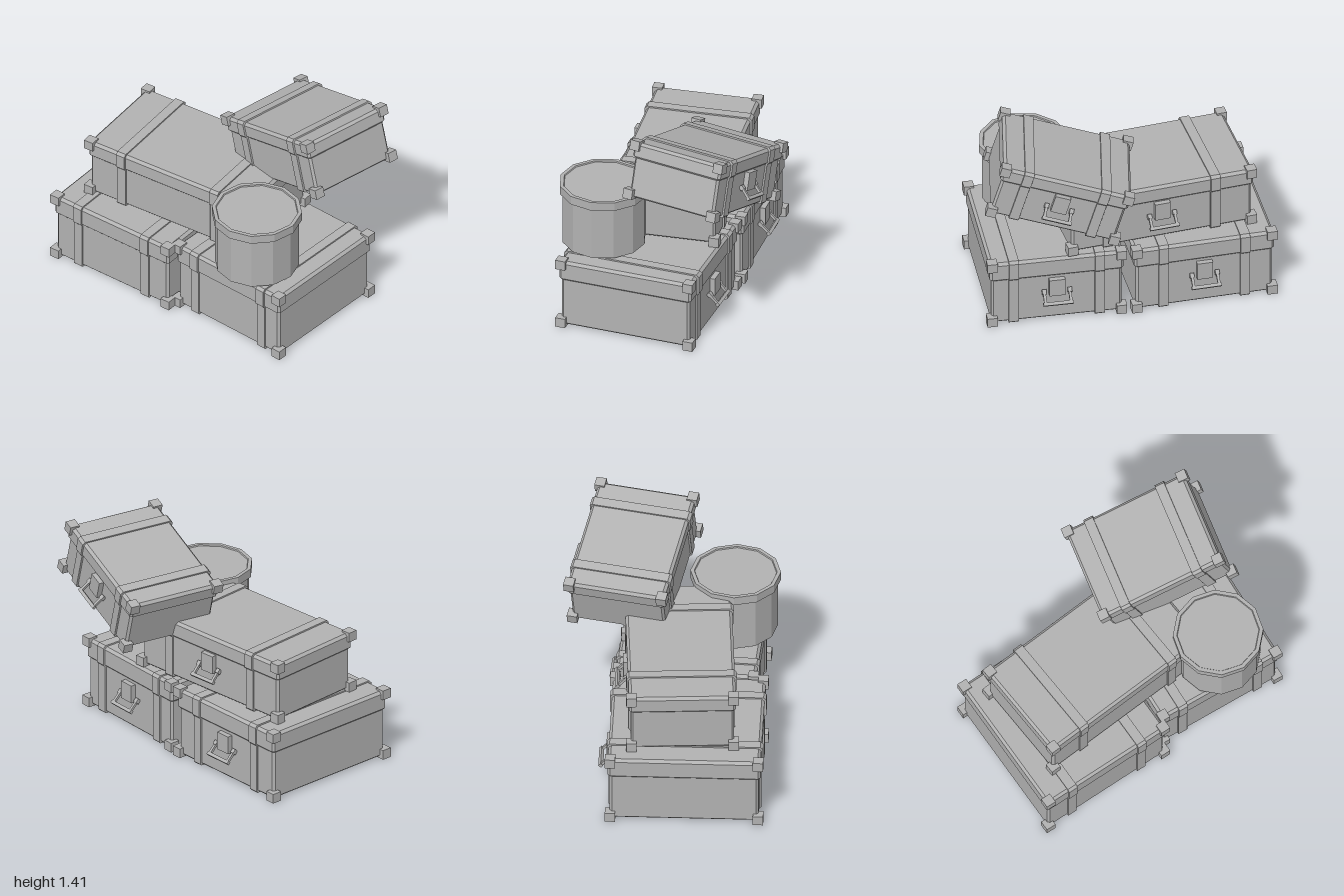
import * as THREE from 'three';

const grey = new THREE.MeshStandardMaterial({ color: 0xb2b2b2 });
grey.name = 'plain grey';

function add(parent, name, geometry, x = 0, y = 0, z = 0) {
  const mesh = new THREE.Mesh(geometry, grey);
  mesh.name = name;
  mesh.position.set(x, y, z);
  parent.add(mesh);
  return mesh;
}

const box = (w, h, d) => new THREE.BoxGeometry(w, h, d);

// Stack of rectangles with clipped corners; each ring is [y, half width, half depth]
function loft(rings, clip) {
  const pos = [];
  const loops = rings.map(([y, a, b]) => [
    [a, y, b - clip], [a, y, -b + clip], [a - clip, y, -b], [-a + clip, y, -b],
    [-a, y, -b + clip], [-a, y, b - clip], [-a + clip, y, b], [a - clip, y, b],
  ]);
  const tri = (...p) => p.forEach((v) => pos.push(...v));
  for (let r = 0; r < loops.length - 1; r++) {
    const lo = loops[r], hi = loops[r + 1];
    for (let i = 0; i < 8; i++) {
      const j = (i + 1) % 8;
      tri(lo[i], lo[j], hi[j]);
      tri(lo[i], hi[j], hi[i]);
    }
  }
  const bottom = loops[0], top = loops[loops.length - 1];
  for (let i = 1; i < 7; i++) {
    tri(top[0], top[i], top[i + 1]);
    tri(bottom[0], bottom[i + 1], bottom[i]);
  }
  const g = new THREE.BufferGeometry();
  g.setAttribute('position', new THREE.Float32BufferAttribute(pos, 3));
  g.computeVertexNormals();
  return g;
}

// Suitcase outline: narrow base, lip, wider lid with a bevelled top
function caseRings(a, h, b, seam, bevelX) {
  const s = 0.012;
  return [
    [-h, a - bevelX * (s + 0.01), b - s - 0.01],
    [-h + 0.01, a - bevelX * s, b - s],
    [seam, a - bevelX * s, b - s],
    [seam + 0.012, a, b],
    [h - 0.018, a, b],
    [h, a - bevelX * 0.018, b - 0.018],
  ];
}

// w, h, d are the distances between the corner guards
function makeSuitcase(name, w, h, d, strapX) {
  const g = new THREE.Group();
  g.name = name;
  const a = w / 2 + 0.015, b = d / 2 + 0.015, hh = h / 2 + 0.02;
  const seam = hh - 0.14 * (h / 0.434);
  add(g, 'caseBody', loft(caseRings(a, hh, b, seam, 1), 0.015));

  // Straps wrapped round the case
  for (const s of [-1, 1]) {
    add(g, 'strap', loft(caseRings(0.033, hh + 0.01, b + 0.012, seam, 0), 0.0005), s * strapX);
  }

  // Corner guards
  for (const x of [-1, 1]) for (const y of [-1, 1]) for (const z of [-1, 1]) {
    add(g, 'cornerGuard', box(0.068, 0.066, 0.068), x * w / 2, y * h / 2, z * d / 2);
  }

  // Lock plate and drooping handle on the back
  add(g, 'lockPlate', box(0.105, 0.125, 0.035), 0, 0.015, -b - 0.006);
  const handle = new THREE.Group();
  handle.name = 'handle';
  handle.position.set(0, -0.018, -b + 0.005);
  handle.rotation.x = -Math.PI / 4;
  for (const s of [-1, 1]) {
    add(handle, 'handleArm', box(0.018, 0.018, 0.09), s * 0.085, 0, -0.045);
    add(handle, 'handleMount', box(0.028, 0.028, 0.03), s * 0.085, 0, -0.008);
  }
  add(handle, 'handleGrip', box(0.2, 0.024, 0.022), 0, 0, -0.092);
  g.add(handle);
  return g;
}

export function createModel() {
  const model = new THREE.Group();
  model.name = 'luggagePile';

  // name, size between guards, strap offset, position, turn (y), tilt (z)
  const cases = [
    ['lowerRightCase', [0.91, 0.434, 0.97], 0.274, [-0.51, 0.25, 0.12], 0, 0],
    ['lowerLeftCase', [0.86, 0.434, 0.89], 0.286, [0.446, 0.25, 0.12], -0.06, 0],
    ['middleCase', [1.225, 0.364, 0.67], 0.367, [-0.224, 0.706, 0.065], 0.065, 0],
    ['topCase', [0.84, 0.332, 0.625], 0.262, [0.441, 1.093, -0.268], -0.218, 0.287],
  ];
  for (const [name, size, strapX, position, turn, tilt] of cases) {
    const c = makeSuitcase(name, ...size, strapX);
    c.position.set(...position);
    c.rotation.set(0, turn, tilt);
    model.add(c);
  }

  // Twelve-sided hat box with a rimmed lid
  const hatBox = new THREE.Group();
  hatBox.name = 'hatBox';
  hatBox.position.set(0.523, 0, 0.4);
  add(hatBox, 'hatBoxBody', new THREE.CylinderGeometry(0.278, 0.278, 0.385, 12).toNonIndexed(), 0, 0.705, 0);
  const lidProfile = [[0, 0.88], [0.297, 0.88], [0.297, 0.94], [0.272, 0.94], [0.268, 0.932], [0, 0.932]]
    .map(([x, y]) => new THREE.Vector2(x, y));
  add(hatBox, 'hatBoxLid', new THREE.LatheGeometry(lidProfile, 12).toNonIndexed());
  hatBox.children.forEach((m) => m.geometry.computeVertexNormals());
  model.add(hatBox);

  return model;
}
